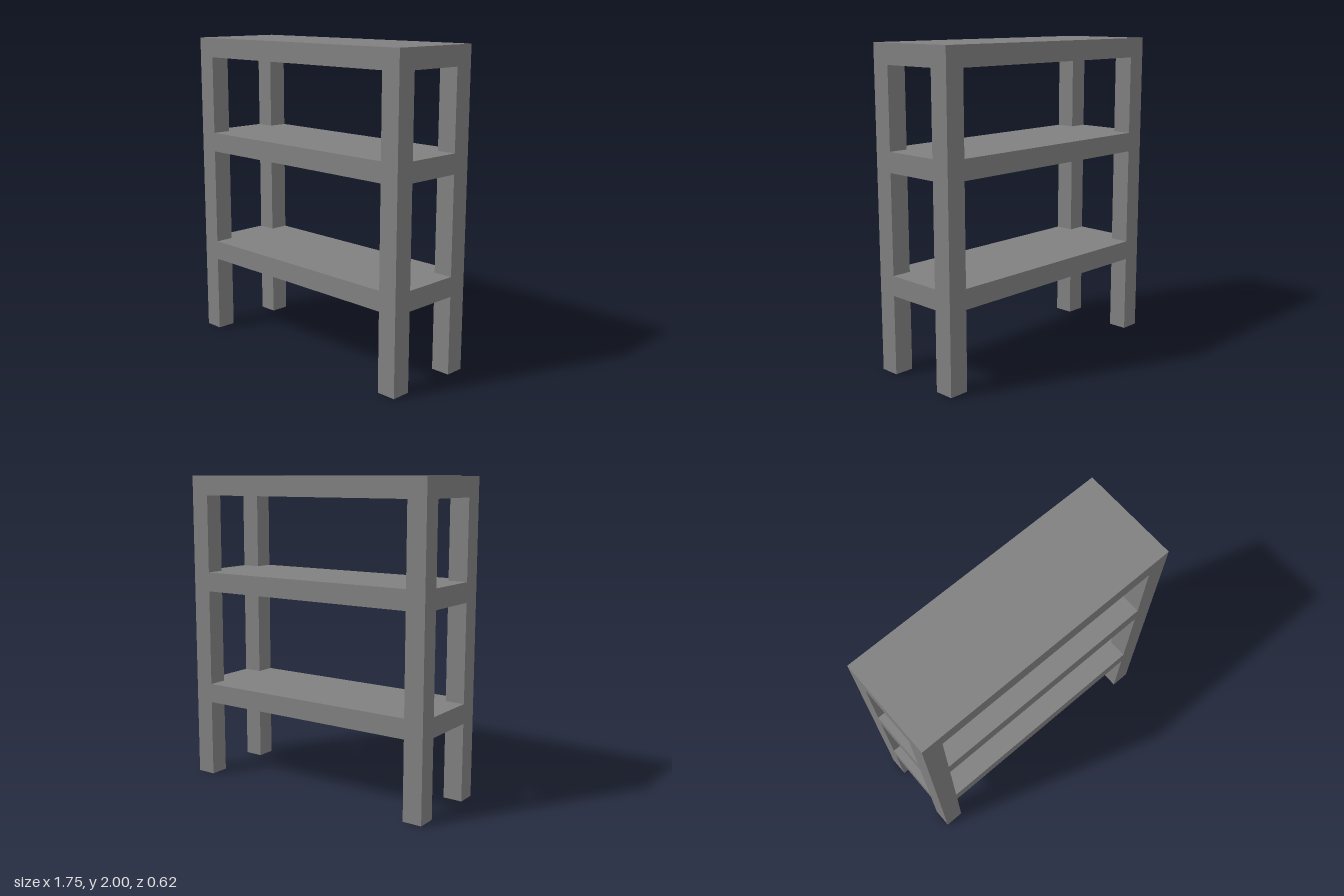
import * as THREE from 'three';

const WIDTH = 1.75, DEPTH = 0.625, HEIGHT = 2, T = 0.125; // T: leg and board thickness

// Board outline with the four corners cut out to fit around the legs
function notchedOutline() {
  const x = WIDTH / 2, z = DEPTH / 2, xi = x - T, zi = z - T;
  return new THREE.Shape([
    [-xi, -z], [xi, -z], [xi, -zi], [x, -zi], [x, zi], [xi, zi],
    [xi, z], [-xi, z], [-xi, zi], [-x, zi], [-x, -zi], [-xi, -zi],
  ].map(([a, b]) => new THREE.Vector2(a, b)));
}

export function createModel() {
  const group = new THREE.Group();
  group.name = 'shelfUnit';
  const grey = new THREE.MeshStandardMaterial({ color: 0x808080 });
  grey.name = 'grey';

  const add = (name, geometry, x, y, z) => {
    const mesh = new THREE.Mesh(geometry, grey);
    mesh.name = name;
    mesh.position.set(x, y, z);
    group.add(mesh);
  };

  // Top board resting on the legs
  add('topBoard', new THREE.BoxGeometry(WIDTH, T, DEPTH), 0, HEIGHT - T / 2, 0);

  // Four square legs
  const legHeight = HEIGHT - T;
  const legGeometry = new THREE.BoxGeometry(T, legHeight, T);
  for (const [side, sx] of [['Left', 1], ['Right', -1]]) {
    for (const [end, sz] of [['front', 1], ['back', -1]]) {
      add(`${end}${side}Leg`, legGeometry, sx * (WIDTH - T) / 2, legHeight / 2, sz * (DEPTH - T) / 2);
    }
  }

  // Two shelves, flush with the outer faces of the legs
  const shelfGeometry = new THREE.ExtrudeGeometry(notchedOutline(), { depth: T, bevelEnabled: false });
  shelfGeometry.rotateX(-Math.PI / 2);
  add('lowerShelf', shelfGeometry, 0, 0.5, 0);
  add('upperShelf', shelfGeometry, 0, 1.25, 0);

  return group;
}
